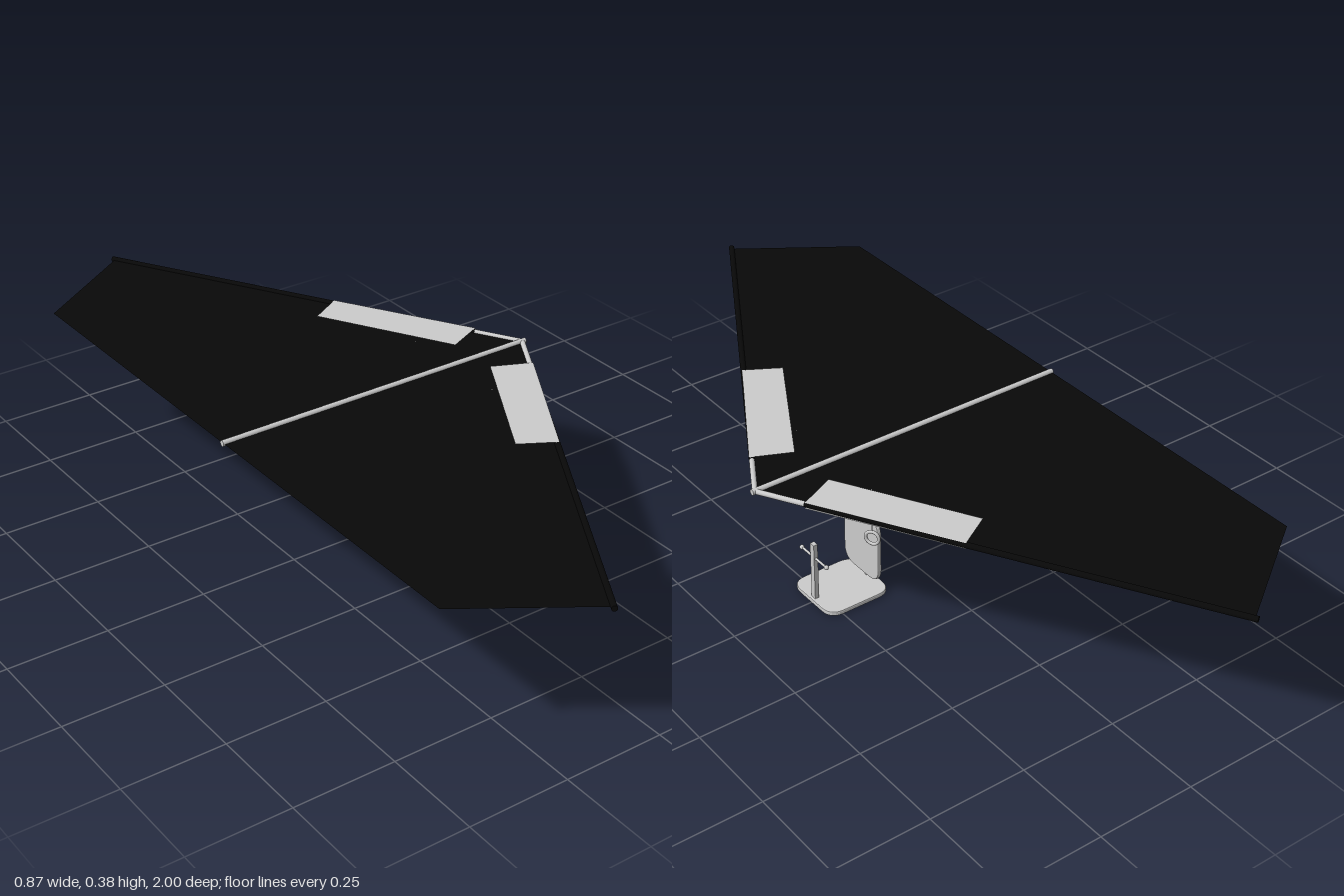
import * as THREE from 'three';

export function createModel() {
  const model = new THREE.Group();
  const grey = new THREE.MeshStandardMaterial({ color: 0xcccccc });
  const greySheet = new THREE.MeshStandardMaterial({ color: 0xcccccc, side: THREE.DoubleSide });
  const black = new THREE.MeshStandardMaterial({ color: 0x080808 });
  const blackSheet = new THREE.MeshStandardMaterial({ color: 0x080808, side: THREE.DoubleSide });
  const WING_Y = 0.377;

  function add(name, geometry, material = grey) {
    const mesh = new THREE.Mesh(geometry, material);
    mesh.name = name;
    model.add(mesh);
    return mesh;
  }

  // Round bar between two points
  function bar(name, a, b, radius, material = grey) {
    const from = new THREE.Vector3(...a), to = new THREE.Vector3(...b);
    const dir = to.clone().sub(from);
    const mesh = add(name, new THREE.CylinderGeometry(radius, radius, dir.length(), 16), material);
    mesh.position.copy(from).add(to).multiplyScalar(0.5);
    mesh.quaternion.setFromUnitVectors(new THREE.Vector3(0, 1, 0), dir.normalize());
    return mesh;
  }

  // Horizontal sheet from [x, z] corners
  function sheet(name, corners, y, material) {
    const shape = new THREE.Shape(corners.map(([x, z]) => new THREE.Vector2(x, -z)));
    const mesh = add(name, new THREE.ShapeGeometry(shape).rotateX(-Math.PI / 2), material);
    mesh.position.y = y;
    return mesh;
  }

  // Cushion slab with rounded corners and a bevelled rim, centred on its middle
  function slab(w, h, thickness, corner) {
    const bevel = 0.003, x = w / 2 - bevel, y = h / 2 - bevel, r = corner;
    const s = new THREE.Shape();
    s.moveTo(-x + r, -y);
    s.lineTo(x - r, -y);
    s.quadraticCurveTo(x, -y, x, -y + r);
    s.lineTo(x, y - r);
    s.quadraticCurveTo(x, y, x - r, y);
    s.lineTo(-x + r, y);
    s.quadraticCurveTo(-x, y, -x, y - r);
    s.lineTo(-x, -y + r);
    s.quadraticCurveTo(-x, -y, -x + r, -y);
    return new THREE.ExtrudeGeometry(s, {
      depth: thickness - 2 * bevel, bevelThickness: bevel, bevelSize: bevel,
      bevelSegments: 2, curveSegments: 6,
    }).center();
  }

  // Point on the swept leading edge at a given distance from the keel
  const edgeX = (z) => 0.425 - 0.577 * z;

  // Keel tube
  bar('keel', [-0.433, WING_Y, 0], [0.433, WING_Y, 0], 0.0075);

  for (const side of [1, -1]) {
    const label = side > 0 ? 'right' : 'left';

    // Sail half
    sheet(label + 'Sail', [[-0.43, 0], [0.425, 0], [-0.15, side * 0.99], [-0.43, side * 0.8]],
      WING_Y, blackSheet);

    // Leading edge spar, bare at the nose and sleeved further out
    bar(label + 'NoseSpar', [edgeX(0), WING_Y, 0], [edgeX(0.107), WING_Y, side * 0.107], 0.0065);
    bar(label + 'SparSleeve', [edgeX(0.107), WING_Y, side * 0.107],
      [edgeX(0.998), WING_Y, side * 0.998], 0.007, black);

    // Pale panel wrapped above and below the spar
    const panel = [[0.368, 0.112], [0.174, 0.442], [0.088, 0.392], [0.272, 0.068]]
      .map(([x, z]) => [x, side * z]);
    sheet(label + 'PanelTop', panel, WING_Y + 0.0074, greySheet);
    sheet(label + 'PanelUnderside', panel, WING_Y - 0.0074, greySheet);

    // Hanging hand ring, parallel to the leading edge
    const ring = add(label + 'HandRing', new THREE.TorusGeometry(0.0165, 0.004, 10, 28));
    ring.position.set(0.213, 0.245, side * 0.15);
    ring.rotation.y = Math.PI / 2 - side * Math.PI / 6;
    bar(label + 'RingCord', [0.213, 0.263, side * 0.15], [0.213, WING_Y, side * 0.15], 0.001);
  }

  // Hanging post
  bar('post', [0.12, 0.004, 0], [0.12, WING_Y, 0], 0.0075);

  // Seat and backrest
  const seat = add('seat', slab(0.176, 0.164, 0.012, 0.035).rotateX(-Math.PI / 2));
  seat.position.set(0.198, 0.006, 0);
  const back = add('backrest', slab(0.138, 0.176, 0.011, 0.035).rotateY(Math.PI / 2));
  back.position.set(0.1345, 0.117, 0);

  // Control column with a crossbar and end knobs
  const column = add('controlColumn', new THREE.BoxGeometry(0.011, 0.157, 0.015));
  column.position.set(0.273, 0.0875, 0);
  bar('crossbar', [0.273, 0.127, -0.05], [0.273, 0.127, 0.05], 0.003);
  for (const side of [1, -1]) {
    const knob = add('crossbarKnob', new THREE.SphereGeometry(0.006, 14, 10));
    knob.position.set(0.273, 0.127, side * 0.05);
  }
  return model;
}
